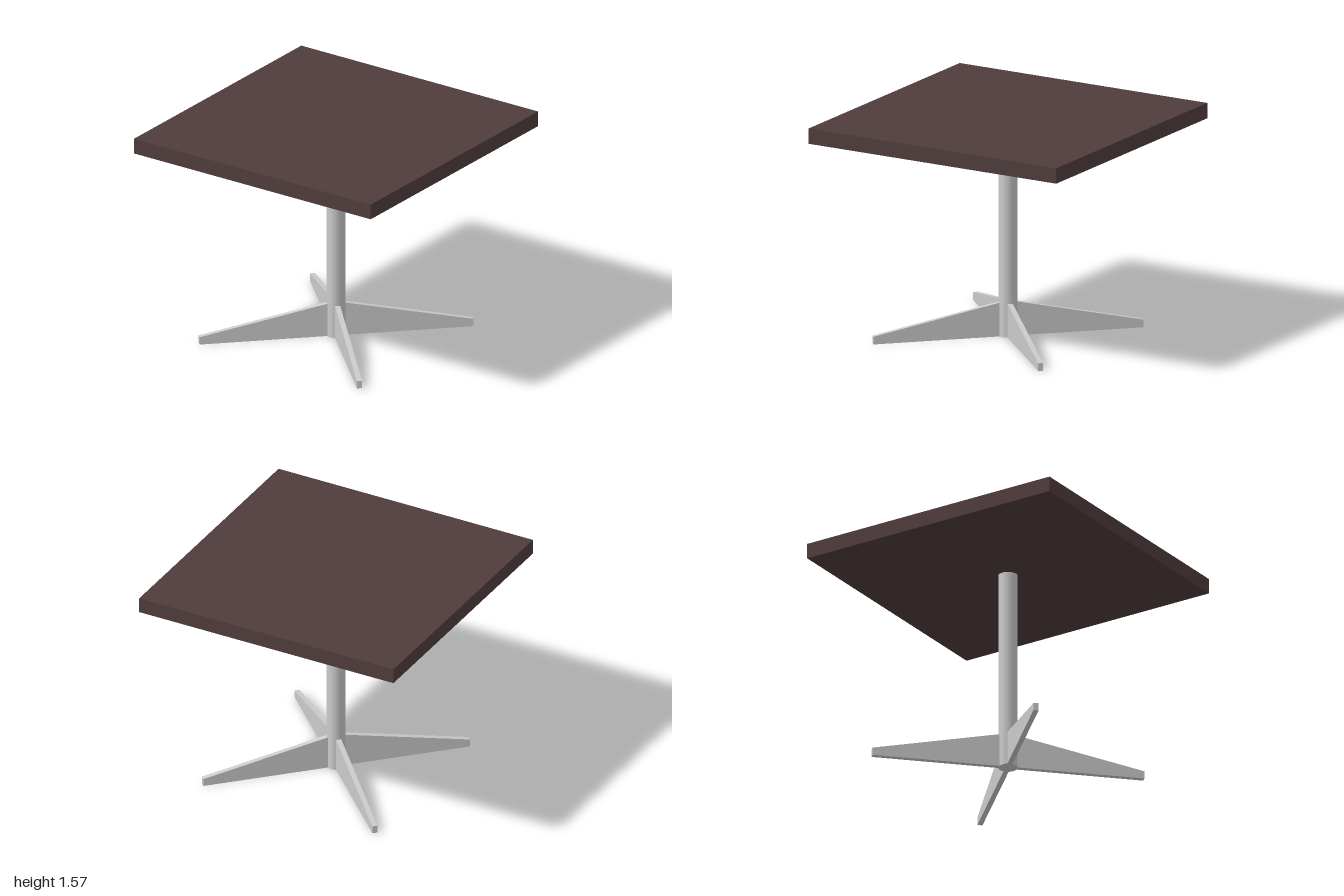
import * as THREE from 'three';

export function createModel() {
  const group = new THREE.Group();
  const metal = new THREE.MeshStandardMaterial({ color: 0xcccccc });
  const wood = new THREE.MeshStandardMaterial({ color: 0x503d3d });

  const add = (name, geometry, material) => {
    const mesh = new THREE.Mesh(geometry, material);
    mesh.name = name;
    group.add(mesh);
    return mesh;
  };

  // Square slab top
  const topHeight = 1.57, topThickness = 0.11;
  const underside = topHeight - topThickness;
  add('tableTop', new THREE.BoxGeometry(2, topThickness, 2), wood)
    .position.y = topHeight - topThickness / 2;

  // Central column
  add('column', new THREE.CylinderGeometry(0.067, 0.067, underside, 32), metal)
    .position.y = underside / 2;

  // Four tapered fins on the diagonals, starting inside the column
  const thickness = 0.036;
  const profile = new THREE.Shape([
    new THREE.Vector2(0.03, 0),
    new THREE.Vector2(0.958, 0),
    new THREE.Vector2(0.958, 0.055),
    new THREE.Vector2(0.06, 0.242),
    new THREE.Vector2(0.03, 0.242),
  ]);
  const foot = new THREE.ExtrudeGeometry(profile, { depth: thickness, bevelEnabled: false });
  foot.translate(0, 0, -thickness / 2);
  ['backLeftFoot', 'backRightFoot', 'frontRightFoot', 'frontLeftFoot'].forEach((name, i) => {
    add(name, foot, metal).rotation.y = Math.PI / 4 + i * Math.PI / 2;
  });

  return group;
}
